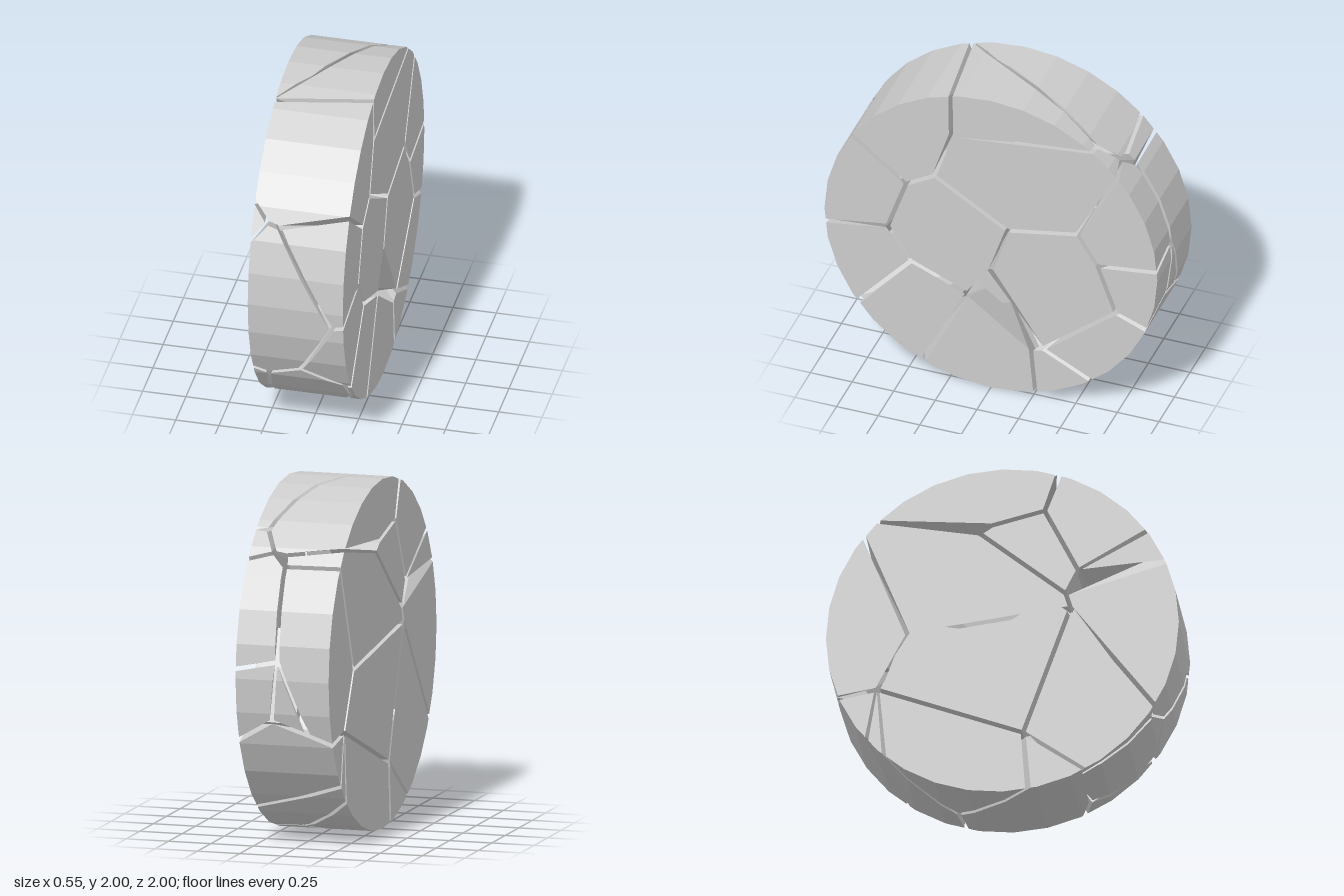
import * as THREE from 'three';
import { ConvexGeometry } from 'three/addons/geometries/ConvexGeometry.js';

// A thick 32-sided disc (axis along x) broken into convex shards with narrow cracks.
const HALF = 0.275, SIDES = 32, GAP = 0.013;
const STEP = (Math.PI * 2) / SIDES, RAD = Math.PI / 180;

// Where cracks meet on the flat sides: [z, y] from the disc centre
const FLAT = {
  p1: [0.24, 0.7], p2: [0.34, 0.39], p3: [0.51, 0.29], p4: [-0.1, 0.12], p5: [0.62, -0.03],
  p6: [0.48, -0.24], p7: [0.14, -0.38], p8: [-0.24, -0.67], p9: [-0.31, -0.65],
  p10: [-0.75, -0.29], p11: [-0.64, 0.01], p12: [-0.52, 0.2], q: [0, -0.18],
  b: [-0.06, 0.655], c: [0.24, 0.73], e: [0.43, 0.35], f: [0.386, 0.12], g: [-0.536, 0],
  i: [-0.71, -0.33], j: [0.117, -0.64], k: [-0.13, 0.61], l: [0.36, 0.21],
};
// Where cracks meet on the rim: [x, degrees from the front upwards]
const RIM = {
  m1: [-0.1, 84], m2: [0.05, 101.5], m3: [0.16, 120], m4: [0.2, 128], m5: [0.06, 137.7],
  m6: [0.05, 142], m7: [0.03, 174], m8: [0.07, 194], m9: [-0.14, 198.5], m10: [0.1, 253],
  m11: [-0.22, 292.5], m12: [0.16, 297], m13: [0.255, 312], m14: [0.24, 324], m15: [0, 332],
  m16: [-0.19, 327.3], m17: [-0.24, 302], m18: [0.21, 354], m19: [-0.12, 27.5],
  m20: [-0.19, 28.7], m21: [0.13, 137],
};
// Where cracks leave the left (L1..) and right (R1..) edges of the rim, in degrees
[76, 127, 140, 177, 201.7, 233.5, 254.6, 293.7, 322.3, 355, 33.5].forEach((a, n) => { RIM['L' + (n + 1)] = [HALF, a]; });
[71, 134.5, 141.7, 202, 219, 227, 279, 298, 330, 21.7, 35.6].forEach((a, n) => { RIM['R' + (n + 1)] = [-HALF, a]; });

// rim: loop around the rim patch; left, right: corners on each flat side; core: corners at mid depth
const SHARDS = [
  { name: 'topShard', rim: 'L1 R1 m1 m2 m3 m4 L2', left: 'p1' },
  { name: 'topRightShard', rim: 'R1 m1 m2 m3 m4 m21 m5 R2', right: 'b c' },
  { name: 'upperLeftShard', rim: 'L2 m4 m21 L3', left: 'p12 p4 p2 p1' },
  { name: 'upperFrontShard', rim: 'L11 m19 m20 R11 R1 L1', left: 'p1 p2 p3', right: 'c e' },
  { name: 'frontWedgeShard', rim: 'R10 m20 R11', right: 'e' },
  { name: 'frontLeftShard', rim: 'L10 m18 m19 L11', left: 'p3 p5' },
  { name: 'frontRightShard', rim: 'R9 m16 m15 m18 m19 m20 R10', right: 'l f' },
  { name: 'lowerFrontLeftShard', rim: 'L9 m14 m15 m18 L10', left: 'p5 p6' },
  { name: 'lowerFrontShard', rim: 'm15 m14 m13 m12 m11 m17 m16', core: 'p7' },
  { name: 'lowerLeftShard', rim: 'L8 m12 m13 m14 L9', left: 'p6 p7' },
  { name: 'lowerRightShard', rim: 'R8 m11 m17 m16 R9', right: 'f j' },
  { name: 'bottomShard', rim: 'L7 m10 R7 R8 m11 m12 L8', left: 'p7 p8', right: 'j' },
  { name: 'bottomRightShard', rim: 'm10 R6 R7', right: 'j i' },
  { name: 'bottomBackShard', rim: 'L6 R5 R6 m10 L7', left: 'p8 p9', right: 'i' },
  { name: 'lowerBackShard', rim: 'L5 m8 m9 R4 R5 L6', left: 'p9 p10', right: 'i' },
  { name: 'backLeftShard', rim: 'L4 m7 m8 L5', left: 'p10 p11' },
  { name: 'backSliverShard', rim: 'm7 m8 m9', core: 'p10' },
  { name: 'backRightShard', rim: 'R3 m6 m7 m9 R4', right: 'i g' },
  { name: 'upperBackLeftShard', rim: 'L3 m21 m6 m7 L4', left: 'p11 p12' },
  { name: 'upperBackRightShard', rim: 'R2 m5 m6 R3', right: 'g f l k' },
  { name: 'upperRightShard', right: 'b c e l k', core: 'b c e l k' },
  { name: 'centreFrontShard', left: 'p2 p3 p5 p6 p7 q p4', core: 'p2 p3 p5 p6 p7 p4' },
  { name: 'centreBackShard', left: 'p4 q p9 p10 p11 p12', core: 'p4 p7 p8 p10 p11 p12' },
  { name: 'centreRightShard', right: 'g f j i', core: 'g f j i' },
];

// Look up a space-separated list of crack corners
const pick = (table, names) => (names ? names.split(' ').map((n) => table[n]) : []);

// Move every edge of a polygon inwards by d
function inset(poly, d) {
  const n = poly.length;
  let area = 0;
  poly.forEach((a, i) => {
    const b = poly[(i + 1) % n];
    area += a[0] * b[1] - b[0] * a[1];
  });
  const s = Math.sign(area) || 1;
  const normal = (a, b) => {
    const dx = b[0] - a[0], dy = b[1] - a[1], len = Math.hypot(dx, dy) || 1;
    return [(-dy / len) * s, (dx / len) * s];
  };
  return poly.map((p, i) => {
    const u = normal(poly[(i + n - 1) % n], p), v = normal(p, poly[(i + 1) % n]);
    const m = d / Math.max(0.3, 1 + u[0] * v[0] + u[1] * v[1]);
    return [p[0] + (u[0] + v[0]) * m, p[1] + (u[1] + v[1]) * m];
  });
}

// Point on the faceted rim
function rimPoint(x, angle) {
  const local = angle - Math.floor(angle / STEP + 1e-9) * STEP - STEP / 2;
  const r = Math.cos(STEP / 2) / Math.cos(local);
  return new THREE.Vector3(x, r * Math.sin(angle) + 1, r * Math.cos(angle));
}

// Rim loop in [x, radians], kept continuous across the front
function rimLoop(names) {
  const loop = pick(RIM, names);
  return loop.map(([x, a]) => [x, (a + 360 * Math.round((loop[0][1] - a) / 360)) * RAD]);
}

// Rim outline of a shard, with a point at every facet edge it crosses
function rimPoints(loop) {
  const corners = inset(loop, GAP).map(([x, a], i) =>
    [Math.abs(loop[i][0]) === HALF ? loop[i][0] : THREE.MathUtils.clamp(x, -HALF, HALF), a]);
  const out = [];
  corners.forEach(([x0, a0], i) => {
    const [x1, a1] = corners[(i + 1) % corners.length];
    out.push(rimPoint(x0, a0));
    const lo = Math.min(a0, a1), hi = Math.max(a0, a1);
    for (let k = Math.ceil(lo / STEP); k * STEP < hi; k++) {
      const t = (k * STEP - a0) / (a1 - a0);
      out.push(rimPoint(x0 + (x1 - x0) * t, k * STEP));
    }
  });
  return out;
}

// Inner corners of a shard on one flat side
function sidePoints(names, loop, x) {
  const onRim = loop.filter((c) => c[0] === x).map((c) => c[1]).sort((a, b) => a - b)
    .map((a) => [Math.cos(a), Math.sin(a)]);
  return inset([...onRim, ...pick(FLAT, names)], GAP).slice(onRim.length)
    .map(([z, y]) => new THREE.Vector3(x, y + 1, z));
}

export function createModel() {
  const group = new THREE.Group();
  group.name = 'shatteredDisc';
  const material = new THREE.MeshStandardMaterial({ color: 0xcccccc, flatShading: true });
  for (const { name, rim, left, right, core } of SHARDS) {
    const loop = rimLoop(rim);
    const points = [
      ...rimPoints(loop),
      ...sidePoints(left, loop, HALF),
      ...sidePoints(right, loop, -HALF),
      ...pick(FLAT, core).map(([z, y]) => new THREE.Vector3(0, y + 1, z)),
    ];
    const mesh = new THREE.Mesh(new ConvexGeometry(points), material);
    mesh.name = name;
    group.add(mesh);
  }
  return group;
}
